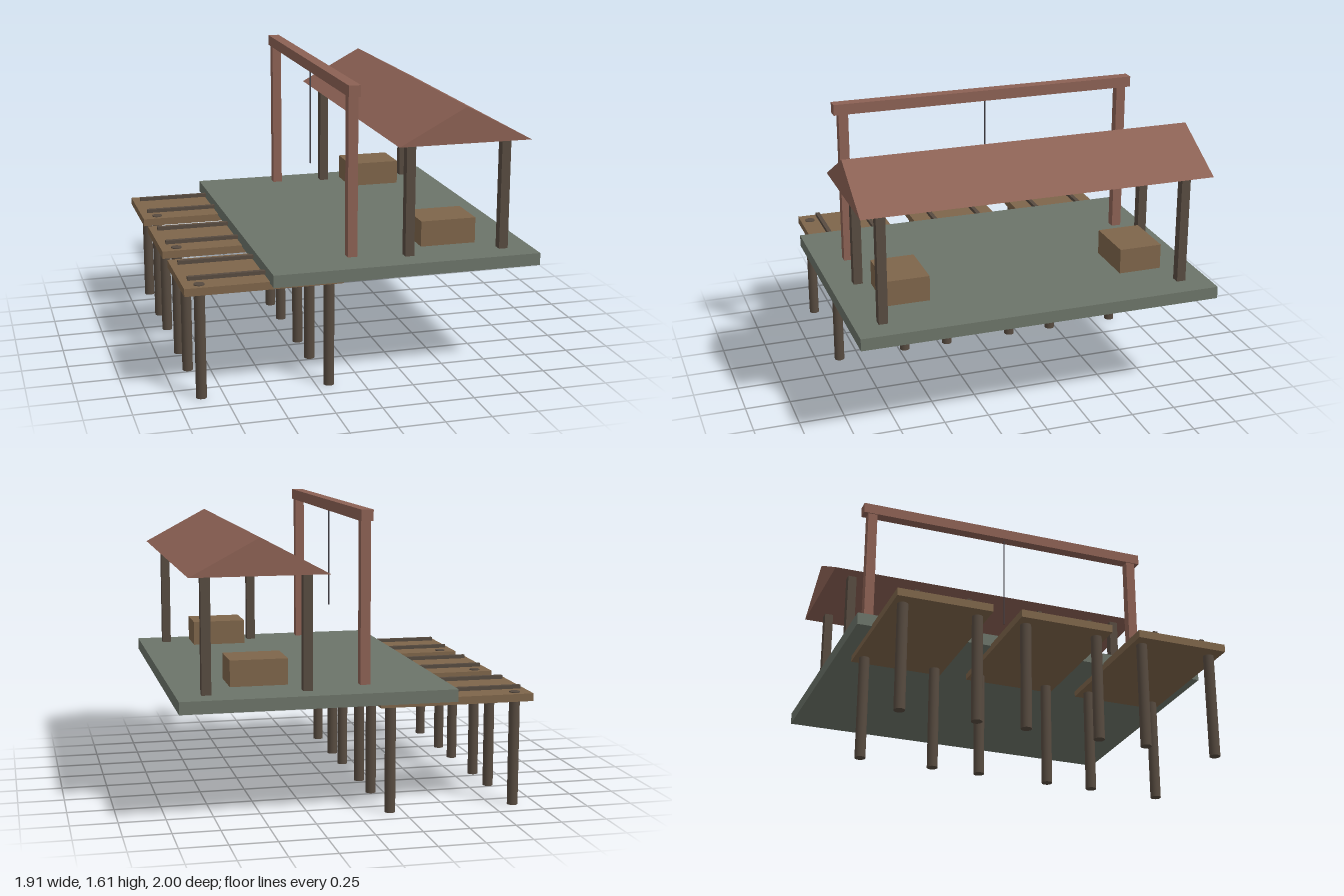
import * as THREE from 'three';

function material(name, color) {
  const m = new THREE.MeshStandardMaterial({ color });
  m.name = name;
  return m;
}

export function createModel() {
  const root = new THREE.Group();
  root.name = 'dockPavilion';

  const deckGreen = material('deckGreen', 0x6c7469);
  const plankBrown = material('plankBrown', 0x7e654a);
  const darkTimber = material('darkTimber', 0x574b40);
  const roofRed = material('roofRed', 0x8c6154);
  const ropeGrey = material('ropeGrey', 0x45434a);

  function add(name, geometry, mat, x, y, z, parent = root) {
    const mesh = new THREE.Mesh(geometry, mat);
    mesh.name = name;
    mesh.position.set(x, y, z);
    parent.add(mesh);
    return mesh;
  }
  // Box given by its lower and upper limits on each axis
  function box(name, mat, [x0, x1], [y0, y1], [z0, z1], parent = root) {
    return add(name, new THREE.BoxGeometry(x1 - x0, y1 - y0, z1 - z0), mat,
      (x0 + x1) / 2, (y0 + y1) / 2, (z0 + z1) / 2, parent);
  }

  // Main platform
  box('deck', deckGreen, [-0.51, 0.955], [0.61, 0.677], [-1, 1]);

  // Three jetties, each with four piles and two rails
  const pileGeometry = new THREE.CylinderGeometry(0.029, 0.029, 0.624, 16);
  for (const zc of [-0.665, 0, 0.665]) {
    const jetty = new THREE.Group();
    jetty.name = 'jetty';
    jetty.position.z = zc;
    root.add(jetty);
    box('jettyPlatform', plankBrown, [-0.957, -0.113], [0.577, 0.619], [-0.255, 0.255], jetty);
    for (const s of [-1, 1]) {
      for (const x of [-0.87, -0.18]) add('pile', pileGeometry, darkTimber, x, 0.312, s * 0.2, jetty);
      const z = s * 0.14;
      box('rail', darkTimber, [-0.92, -0.15], [0.627, 0.647], [z - 0.012, z + 0.012], jetty);
    }
  }

  // Hoist frame with a hanging rope
  const hoist = new THREE.Group();
  hoist.name = 'hoistFrame';
  root.add(hoist);
  for (const s of [-1, 1]) {
    const z = s * 0.822;
    box('hoistPost', roofRed, [-0.073, -0.02], [0.692, 1.555], [z - 0.027, z + 0.027], hoist);
  }
  box('hoistBeam', roofRed, [-0.079, -0.015], [1.552, 1.612], [-0.876, 0.876], hoist);
  add('rope', new THREE.CylinderGeometry(0.004, 0.004, 0.552, 8), ropeGrey, -0.047, 1.276, 0, hoist);

  // Pavilion: four posts under a closed gable roof
  const pavilion = new THREE.Group();
  pavilion.name = 'pavilion';
  root.add(pavilion);
  for (const x of [0.264, 0.796]) {
    for (const z of [-0.845, 0.845]) {
      box('pavilionPost', darkTimber, [x - 0.025, x + 0.025], [0.677, 1.297], [z - 0.025, z + 0.025], pavilion);
    }
  }
  const gable = new THREE.Shape([
    new THREE.Vector2(-0.365, 0),
    new THREE.Vector2(0.365, 0),
    new THREE.Vector2(0, 0.195),
  ]);
  const roofGeometry = new THREE.ExtrudeGeometry(gable, { depth: 1.934, bevelEnabled: false });
  add('roof', roofGeometry, roofRed, 0.53, 1.295, -0.967, pavilion);

  // Crates at both ends of the pavilion
  for (const s of [-1, 1]) {
    const z = s * 0.668;
    box('crate', plankBrown, [0.354, 0.662], [0.699, 0.839], [z - 0.121, z + 0.121]);
  }

  return root;
}
